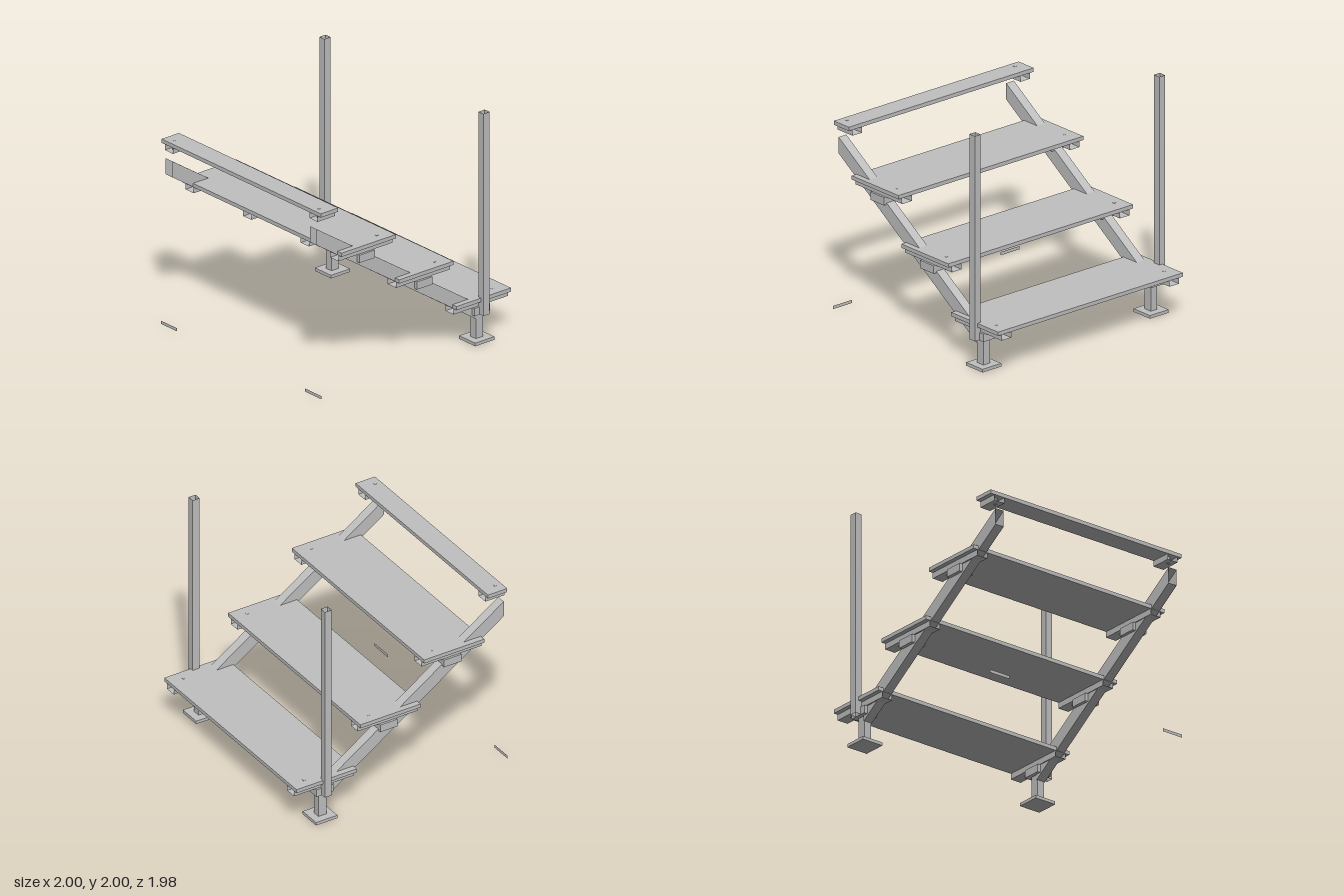
import * as THREE from 'three';

const STEP_Y = 0.4025, STEP_Z = 0.601, SLOPE = STEP_Y / STEP_Z;

export function createModel() {
  const model = new THREE.Group();
  const steel = new THREE.MeshStandardMaterial({ color: 0xc0c0c0, side: THREE.DoubleSide });
  steel.name = 'grey steel';

  const add = (name, geometry) => {
    const mesh = new THREE.Mesh(geometry, steel);
    mesh.name = name;
    model.add(mesh);
    return mesh;
  };

  // solid bar from its limits on each axis
  const bar = (name, [x0, x1], [y0, y1], [z0, z1]) => {
    const g = new THREE.BoxGeometry(Math.abs(x1 - x0), y1 - y0, z1 - z0);
    return add(name, g.translate((x0 + x1) / 2, (y0 + y1) / 2, (z0 + z1) / 2));
  };

  // thin-walled square tube along y, one unit in each direction, open at both ends
  const unitTube = () => {
    const g = new THREE.CylinderGeometry(Math.SQRT1_2, Math.SQRT1_2, 1, 4, 1, true).rotateY(Math.PI / 4).toNonIndexed();
    g.computeVertexNormals();
    return g;
  };

  // treads, from the lowest at the back to the narrow landing edge at the front
  for (let i = 0; i < 4; i++) {
    const top = 0.396 + i * STEP_Y;
    const z0 = -0.992 + i * STEP_Z;
    const z1 = Math.min(z0 + 0.566, 0.992);
    bar('tread', [-0.971, 0.971], [top - 0.033, top], [z0, z1]);

    for (const s of [-1, 1]) {
      // open tube carrying each end of the tread
      add('treadSupport', unitTube().rotateX(Math.PI / 2).scale(0.1, 0.05, z1 - z0)
        .translate(s * 0.882, top - 0.058, (z0 + z1) / 2));
      bar('treadBolt', [s * 0.872, s * 0.892], [top - 0.09, top + 0.002], [z0 + 0.115, z0 + 0.135]);
      // bracket joining the support to the stringer
      if (i < 3) {
        bar('bracket', [s * 0.813, s * 0.951], [top - 0.15, top - 0.083], [z0 + 0.201, z0 + 0.362]);
      }
    }
  }

  for (const s of [-1, 1]) {
    // stringer: a straight tube sheared to the pitch of the stairs
    const g = unitTube().rotateX(Math.PI / 2).scale(0.081, 0.138, 1.669).translate(s * 0.8805, 0, 0.1575);
    const p = g.attributes.position;
    for (let k = 0; k < p.count; k++) p.setY(k, p.getY(k) + 1.384 + SLOPE * (p.getZ(k) - 0.992));
    g.computeVertexNormals();
    add('stringer', g);

    // railing post, open at both ends, and its bolt
    add('railingPost', unitTube().scale(0.06, 1.75, 0.065).translate(s * 0.97, 1.125, -0.712));
    bar('postBolt', [s * 0.92, s * 1.0], [0.326, 0.348], [-0.722, -0.7]);

    // back leg with foot plate
    bar('leg', [s * 0.846, s * 0.913], [0.02, 0.31], [-0.749, -0.674]);
    bar('footPlate', [s * 0.781, s * 0.978], [0, 0.027], [-0.813, -0.613]);

    // edge of the front foot plate
    add('frontFootEdge', new THREE.PlaneGeometry(0.197, 0.027).translate(s * 0.8795, 0.0135, 0.992));
  }
  return model;
}
